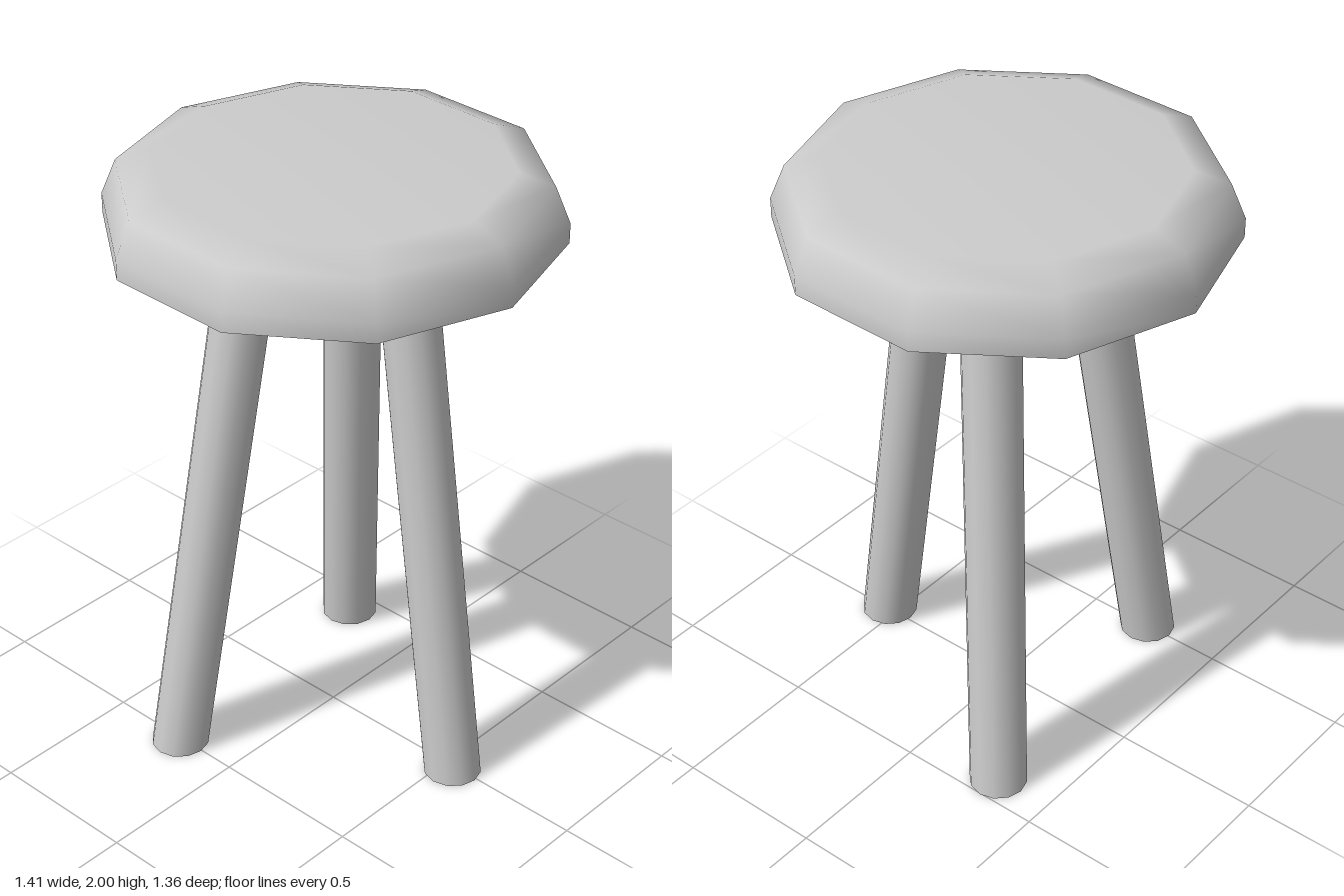
import * as THREE from 'three';

const material = new THREE.MeshStandardMaterial({ color: 0xcccccc });
const SIDES = 10;
const TURN = THREE.MathUtils.degToRad(1.5);
const SEAT_RADIUS = 0.707;
const SEAT_BOTTOM = 1.78;

function part(name, geometry) {
  const mesh = new THREE.Mesh(geometry, material);
  mesh.name = name;
  return mesh;
}

// Ten-sided seat with a softly rounded upper rim and a flat underside
function createSeat() {
  const seat = new THREE.Group();
  seat.name = 'seat';
  const profile = [
    [SEAT_RADIUS, SEAT_BOTTOM], [SEAT_RADIUS, 1.845], [0.66, 1.96], [0.55, 2], [0, 2],
  ].map(([r, y]) => new THREE.Vector2(r, y));
  seat.add(part('seatTop', new THREE.LatheGeometry(profile, SIDES, Math.PI / 2 - TURN)));

  const underside = new THREE.CircleGeometry(SEAT_RADIUS, SIDES, TURN);
  underside.rotateX(Math.PI / 2).translate(0, SEAT_BOTTOM, 0);
  seat.add(part('seatUnderside', underside));
  return seat;
}

// Slanted round leg whose ends stay level, from foot [x, z] to head [x, z]
function createLeg(name, foot, head) {
  const geometry = new THREE.CylinderGeometry(0.094, 0.094, SEAT_BOTTOM, 12);
  geometry.translate(0, SEAT_BOTTOM / 2, 0);
  const slantX = (head[0] - foot[0]) / SEAT_BOTTOM;
  const slantZ = (head[1] - foot[1]) / SEAT_BOTTOM;
  geometry.applyMatrix4(new THREE.Matrix4().set(
    1, slantX, 0, foot[0],
    0, 1, 0, 0,
    0, slantZ, 1, foot[1],
    0, 0, 0, 1,
  ));
  return part(name, geometry);
}

export function createModel() {
  const stool = new THREE.Group();
  stool.name = 'stool';
  stool.add(
    createSeat(),
    createLeg('leftLeg', [0.535, 0.01], [0.26, -0.03]),
    createLeg('frontLeg', [-0.22, 0.505], [-0.105, 0.25]),
    createLeg('backLeg', [-0.3, -0.41], [-0.11, -0.21]),
  );
  return stool;
}
